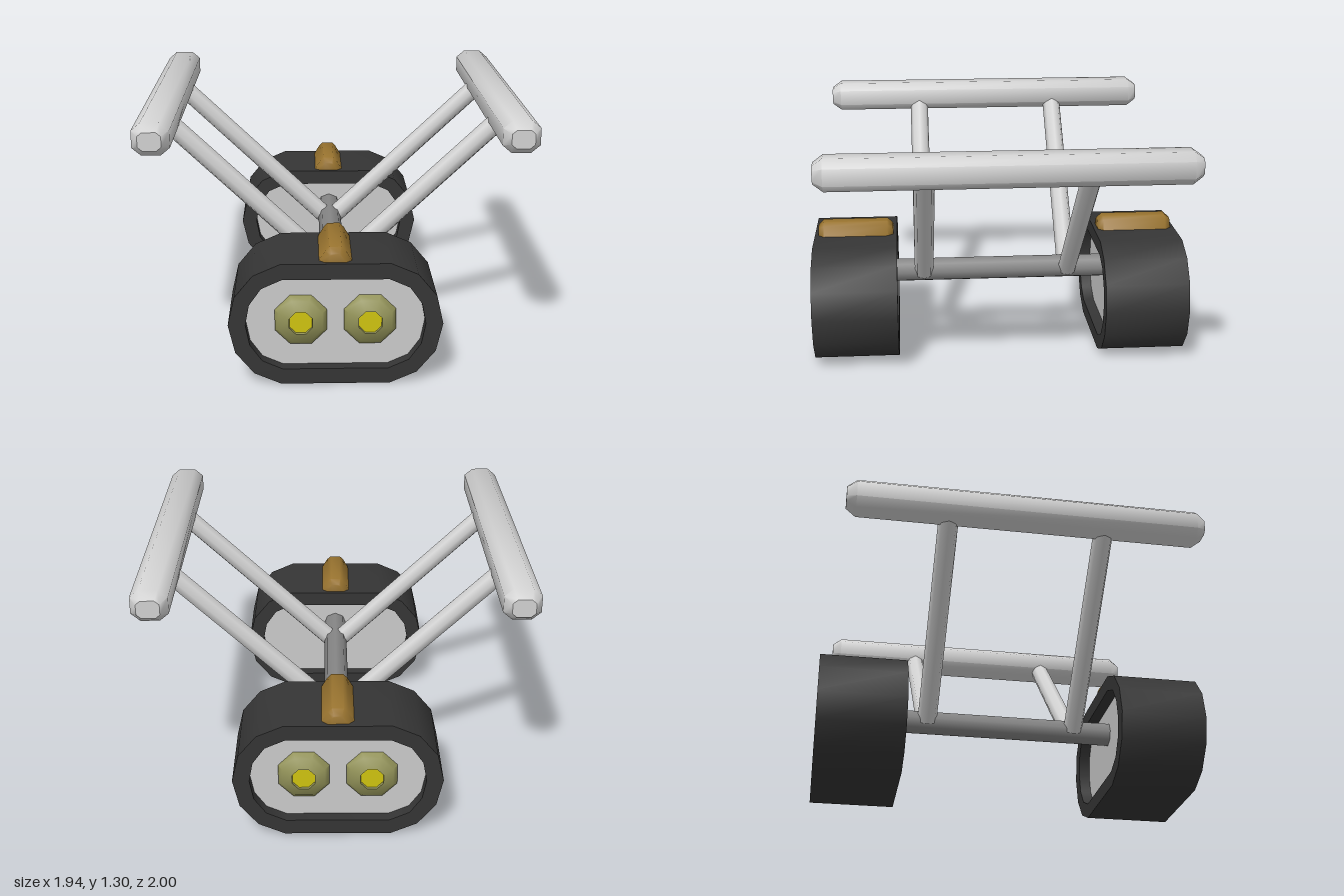
import * as THREE from 'three';
import { toCreasedNormals } from 'three/addons/utils/BufferGeometryUtils.js';

const material = (name, color) => {
  const m = new THREE.MeshStandardMaterial({ color });
  m.name = name;
  return m;
};

// Closed outline from the points of its upper right quarter, mirrored both ways
function outline(quarter) {
  const upper = [...quarter, ...[...quarter].reverse().map(([x, y]) => [-x, y])];
  const all = [...upper, ...[...upper].reverse().map(([x, y]) => [x, -y])];
  const points = all.map(([x, y]) => new THREE.Vector2(x, y));
  return points.filter((p, i) => p.distanceTo(points[(i + 1) % points.length]) > 1e-5);
}

// Prism along z, centred, with optional chamfered ends
function prism(points, length, { hole, inset = 0, chamfer = 0 } = {}) {
  const shape = new THREE.Shape(points);
  if (hole) shape.holes.push(new THREE.Path(hole));
  const geometry = new THREE.ExtrudeGeometry(shape, {
    depth: length - 2 * chamfer,
    bevelEnabled: inset > 0,
    bevelSegments: 1,
    bevelSize: inset,
    bevelOffset: -inset,
    bevelThickness: chamfer,
  });
  geometry.translate(0, 0, chamfer - length / 2);
  return toCreasedNormals(geometry, 0.9);
}

export function createModel() {
  const black = material('black rubber', 0x353535);
  const panelGrey = material('panel grey', 0xcbcbcb);
  const barGrey = material('bar grey', 0xd2d2d2);
  const axleGrey = material('axle grey', 0x868686);
  const gold = material('gold', 0x98732f);
  const olive = material('lamp olive', 0x94945a);
  const yellow = material('lamp yellow', 0xd0c410);

  const model = new THREE.Group();
  const add = (parent, name, geometry, mat, x = 0, y = 0, z = 0) => {
    const mesh = new THREE.Mesh(geometry, mat);
    mesh.name = name;
    mesh.position.set(x, y, z);
    parent.add(mesh);
    return mesh;
  };

  // Wheel pods: rubber ring, recessed panel, top ridge and two lamps
  const outer = outline([[0.525, 0], [0.492, 0.145], [0.4, 0.257], [0.268, 0.315]]);
  const inner = outline([[0.44, 0], [0.42, 0.105], [0.36, 0.19], [0.26, 0.235]]);
  const ringGeometry = prism(outer, 0.45, { hole: inner });
  const panelGeometry = prism(inner, 0.33);
  const ridgeGeometry = prism(outline([[0.08, 0], [0.05, 0.05], [0.03, 0.07]]), 0.41, { inset: 0.025, chamfer: 0.03 });
  const lampProfile = [[0.138, 0], [0.138, 0.008], [0.115, 0.03], [0.062, 0.052], [0.06, 0.035]]
    .map(([r, h]) => new THREE.Vector2(r, h));
  const lampGeometry = toCreasedNormals(
    new THREE.LatheGeometry(lampProfile, 8, Math.PI / 8).rotateX(Math.PI / 2), 0.9);
  const bulbGeometry = new THREE.CircleGeometry(0.062, 8, Math.PI / 8);

  for (const [end, turn] of [['front', 0], ['back', Math.PI]]) {
    const pod = new THREE.Group();
    pod.name = end + 'WheelPod';
    pod.position.set(-0.008, 0.315, turn ? -0.775 : 0.775);
    pod.rotation.y = turn;
    add(pod, 'tyreRing', ringGeometry, black);
    add(pod, 'sidePanel', panelGeometry, panelGrey);
    add(pod, 'topRidge', ridgeGeometry, gold, 0, 0.315, 0);
    for (const x of [-0.17, 0.17]) {
      add(pod, 'lampRing', lampGeometry, olive, x, 0.004, 0.165);
      add(pod, 'lampBulb', bulbGeometry, yellow, x, 0.004, 0.202);
    }
    model.add(pod);
  }

  // Axle joining the two pods
  add(model, 'axle', new THREE.CylinderGeometry(0.066, 0.066, 1.24, 8).rotateX(Math.PI / 2),
    axleGrey, -0.006, 0.4, 0);

  // Upper bars and the slanted struts that carry them
  const barGeometry = prism(outline([[0.091, 0.042], [0.046, 0.08]]), 1.85, { inset: 0.035, chamfer: 0.05 });
  for (const [sideName, side] of [['left', 1], ['right', -1]]) {
    add(model, sideName + 'Bar', barGeometry, barGrey, side * 0.88, 1.22, 0);
    const low = new THREE.Vector3(side * 0.03 - 0.006, 0.403, 0);
    const high = new THREE.Vector3(side * 0.87, 1.205, 0);
    const direction = high.clone().sub(low);
    const strutGeometry = new THREE.CylinderGeometry(0.052, 0.052, direction.length(), 8);
    for (const z of [-0.404, 0.404]) {
      const strut = add(model, sideName + 'Strut', strutGeometry, barGrey);
      strut.position.copy(low).add(high).multiplyScalar(0.5).setZ(z);
      strut.quaternion.setFromUnitVectors(new THREE.Vector3(0, 1, 0), direction.clone().normalize());
    }
  }
  return model;
}
